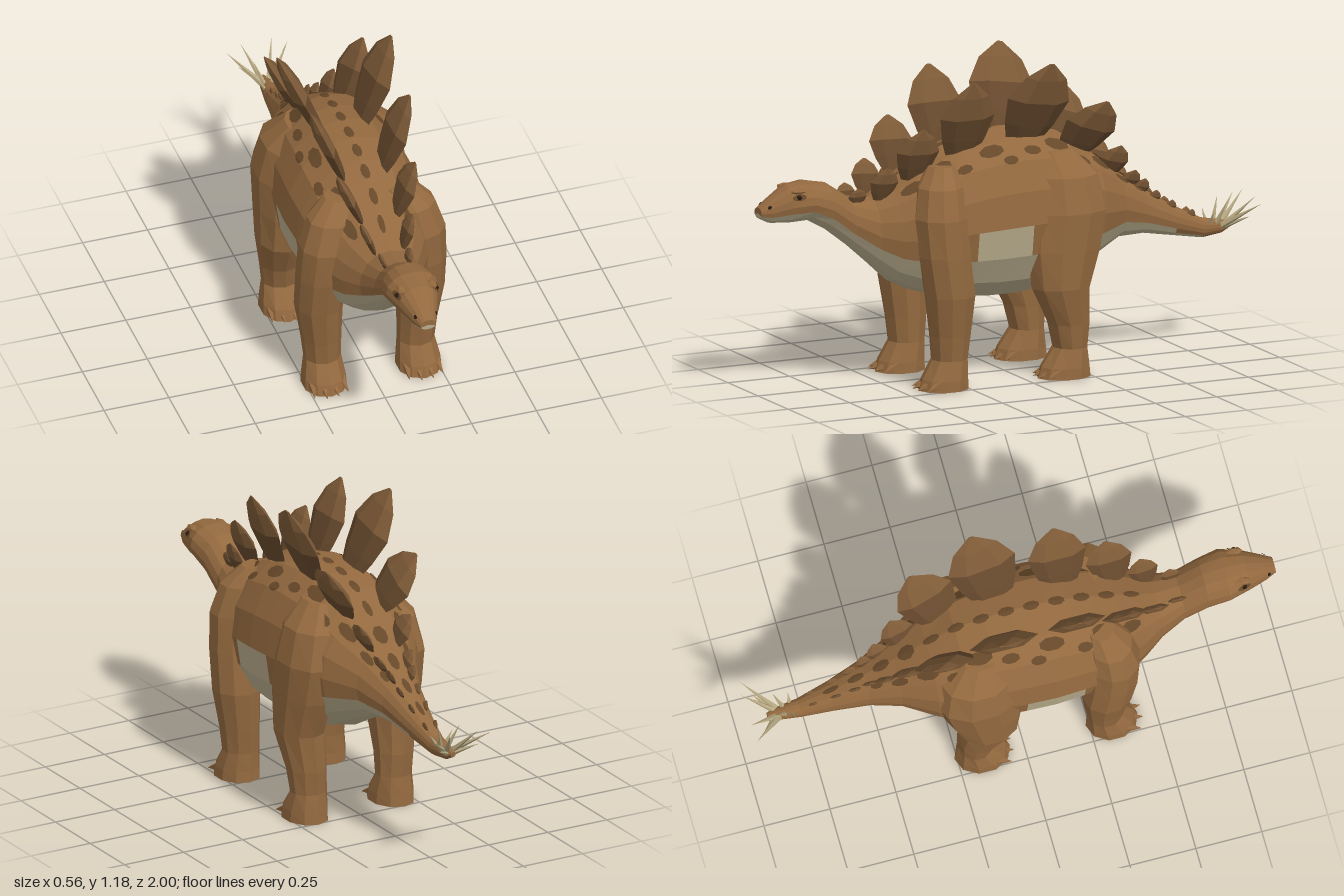
import * as THREE from 'three';

const mat = (name, color, side = THREE.FrontSide) => {
  const m = new THREE.MeshStandardMaterial({ color, side });
  m.name = name;
  return m;
};
const skin = mat('brown skin', 0x93693f);
const belly = mat('pale belly', 0xb8ac8c);
const dark = mat('dark markings', 0x664829, THREE.DoubleSide);
const plateBase = mat('plate base', 0x694b2e);
const plateTip = mat('plate tip', 0x7d5a37);
const horn = mat('horn', 0xb5a780);
const black = mat('eye black', 0x241a12, THREE.DoubleSide);

const V = (x, y, z) => new THREE.Vector3(x, y, z);

// Faceted skin over rings of points, capped at both ends; pick(i, j) gives a material index
function loft(rings, pick = () => 0) {
  const faces = [[], []];
  const n = rings[0].length;
  const last = rings.length - 1;
  const mid = r => r.reduce((s, p) => s.add(p), V(0, 0, 0)).divideScalar(n);
  for (let j = 0; j < n; j++) {
    const k = (j + 1) % n;
    for (let i = 0; i < last; i++) {
      const [a, b, c, d] = [rings[i][j], rings[i][k], rings[i + 1][k], rings[i + 1][j]];
      faces[pick(i, j)].push(a, d, c, a, c, b);
    }
    faces[pick(0, j)].push(mid(rings[0]), rings[0][j], rings[0][k]);
    faces[pick(last - 1, j)].push(mid(rings[last]), rings[last][k], rings[last][j]);
  }
  const geo = new THREE.BufferGeometry().setFromPoints(faces.flat());
  geo.addGroup(0, faces[0].length, 0);
  geo.addGroup(faces[0].length, faces[1].length, 1);
  geo.computeVertexNormals();
  return geo;
}

// Body sections: z, top, bottom, half width, pale faces per side
const SIDES = 16;
const sections = [
  [1.0, 0.705, 0.665, 0.03, 3], [0.96, 0.735, 0.645, 0.048, 3], [0.89, 0.78, 0.64, 0.075, 3],
  [0.81, 0.79, 0.645, 0.1, 3], [0.73, 0.775, 0.6, 0.092, 3], [0.64, 0.715, 0.53, 0.088, 3],
  [0.55, 0.705, 0.45, 0.115, 3], [0.48, 0.745, 0.385, 0.16, 3], [0.4, 0.8, 0.345, 0.21, 3],
  [0.3, 0.855, 0.315, 0.24, 3], [0.22, 0.885, 0.3, 0.25, 4], [0.11, 0.91, 0.29, 0.258, 4],
  [0.0, 0.918, 0.29, 0.255, 3], [-0.1, 0.91, 0.305, 0.25, 3], [-0.21, 0.88, 0.34, 0.24, 3],
  [-0.32, 0.81, 0.4, 0.205, 3], [-0.44, 0.715, 0.46, 0.13, 3], [-0.55, 0.635, 0.462, 0.085, 3],
  [-0.68, 0.555, 0.44, 0.055, 2], [-0.8, 0.495, 0.42, 0.034, 0], [-0.88, 0.48, 0.43, 0.024, 0],
  [-0.92, 0.47, 0.45, 0.01, 0],
];
const bodyRings = sections.map(([z, top, bottom, hw]) => {
  const yc = bottom + (top - bottom) * 0.48;
  return Array.from({ length: SIDES }, (_, j) => {
    const a = (j / SIDES) * Math.PI * 2;
    const s = Math.sin(a), c = -Math.cos(a);
    const x = Math.sign(s) * Math.abs(s) ** 0.88 * hw;
    return V(x, yc + c * (c > 0 ? top - yc : yc - bottom), z);
  });
});

// Point on the body surface; v runs 0 (bottom) to 8 (top) up the left side and on round
function onBody(z, v, lift = 0.005) {
  let i = sections.findIndex((s, k) => k > 0 && s[0] <= z) - 1;
  const t = (sections[i][0] - z) / (sections[i][0] - sections[i + 1][0]);
  const j = Math.floor(v), f = v - j;
  const at = (r, k) => bodyRings[r][(k + SIDES) % SIDES];
  const row = r => at(r, j).clone().lerp(at(r, j + 1), f);
  const p = row(i).lerp(row(i + 1), t);
  const a = (v / SIDES) * Math.PI * 2;
  return p.add(V(Math.sin(a) * lift, -Math.cos(a) * lift, 0));
}

// Thin many-sided marking laid on the body
function patch(z, v, dz, dv) {
  const rim = k => Array.from({ length: 8 }, (_, n) => {
    const a = ((n + 0.5) / 8) * Math.PI * 2;
    return onBody(z + Math.cos(a) * dz * k, v + Math.sin(a) * dv * k);
  });
  const inner = rim(0.5), outer = rim(1), c = onBody(z, v), pts = [];
  for (let n = 0; n < 8; n++) {
    const m = (n + 1) % 8;
    pts.push(c, inner[n], inner[m], inner[n], outer[n], outer[m], inner[n], outer[m], inner[m]);
  }
  const geo = new THREE.BufferGeometry().setFromPoints(pts);
  geo.computeVertexNormals();
  return geo;
}

// Faceted spike between two points
function spike(from, to, r, sides = 5) {
  const dir = to.clone().sub(from);
  const geo = new THREE.ConeGeometry(r, dir.length(), sides).toNonIndexed();
  geo.computeVertexNormals();
  geo.applyQuaternion(new THREE.Quaternion().setFromUnitVectors(V(0, 1, 0), dir.clone().normalize()));
  const c = from.clone().lerp(to, 0.5);
  return geo.translate(c.x, c.y, c.z);
}

// Leg rings: y, x centre, x radius, z centre, z radius
const frontLeg = [
  [0, 0.182, 0.08, 0.335, 0.098], [0.04, 0.182, 0.078, 0.33, 0.09], [0.11, 0.18, 0.067, 0.31, 0.068],
  [0.2, 0.185, 0.072, 0.31, 0.078], [0.35, 0.196, 0.086, 0.315, 0.096], [0.5, 0.19, 0.092, 0.335, 0.1],
  [0.64, 0.175, 0.1, 0.345, 0.1], [0.75, 0.15, 0.09, 0.335, 0.085], [0.82, 0.11, 0.06, 0.31, 0.05],
];
const hindLeg = [
  [0, 0.182, 0.08, -0.155, 0.105], [0.04, 0.182, 0.078, -0.16, 0.095], [0.11, 0.18, 0.067, -0.18, 0.064],
  [0.2, 0.185, 0.072, -0.172, 0.08], [0.34, 0.196, 0.086, -0.135, 0.115], [0.48, 0.19, 0.092, -0.15, 0.15],
  [0.62, 0.178, 0.104, -0.17, 0.16], [0.75, 0.15, 0.1, -0.165, 0.14], [0.84, 0.11, 0.06, -0.14, 0.08],
];

// Back plates: z, base x, base y, tip x, tip y, tip z, width
const plates = [
  [0.62, 0.04, 0.685, 0.06, 0.75, 0.62, 0.075], [0.53, 0.055, 0.7, 0.1, 0.825, 0.52, 0.115],
  [0.41, 0.07, 0.77, 0.15, 0.965, 0.4, 0.175], [0.215, 0.075, 0.83, 0.19, 1.13, 0.215, 0.22],
  [-0.035, 0.075, 0.86, 0.22, 1.18, -0.09, 0.26], [-0.235, 0.07, 0.8, 0.19, 1.01, -0.33, 0.23],
  [-0.385, 0.05, 0.7, 0.11, 0.82, -0.425, 0.13], [-0.475, 0.035, 0.64, 0.075, 0.715, -0.5, 0.085],
  [-0.53, 0.03, 0.61, 0.055, 0.675, -0.55, 0.065], [-0.59, 0.025, 0.57, 0.045, 0.625, -0.6, 0.055],
  [-0.66, 0.02, 0.53, 0.035, 0.58, -0.67, 0.048], [-0.745, 0.015, 0.49, 0.025, 0.535, -0.755, 0.04],
];
function plateGeometry([z, bx, by, tx, ty, tz, w]) {
  const from = V(bx, by, z), up = V(tx, ty, tz).sub(from), dir = up.clone().normalize();
  const wide = V(0, 0, 1).addScaledVector(dir, -dir.z).normalize();
  const thick = dir.clone().cross(wide);
  const outline = [[0, 0.5], [0.25, 0.8], [0.55, 1], [0.82, 0.66], [1, 0.08]];
  return loft(outline.map(([h, k]) => Array.from({ length: 6 }, (_, j) => {
    const a = (-j / 6) * Math.PI * 2;
    return from.clone().addScaledVector(up, h)
      .addScaledVector(wide, Math.cos(a) * k * w / 2).addScaledVector(thick, Math.sin(a) * k * w * 0.13);
  })), i => (i < 2 ? 0 : 1));
}

export function createModel() {
  const model = new THREE.Group();
  model.name = 'plated dinosaur';
  const add = (name, geo, material) => {
    const m = new THREE.Mesh(geo, material);
    m.name = name;
    model.add(m);
    return m;
  };

  // Head, trunk and tail in one skin with a pale underside
  add('body', loft(bodyRings, (i, j) => (Math.min(j, SIDES - 1 - j) < sections[i][4] ? 1 : 0)), [skin, belly]);

  // Markings along the ridge
  for (let z = 0.46; z > -0.7; z -= 0.095) add('ridgeMarking', patch(z, 8, 0.032, z > -0.35 ? 0.16 : 0.4), dark);

  for (const s of [1, -1]) {
    const side = s > 0 ? 'left' : 'right';
    const v = q => (s > 0 ? q : SIDES - q);

    // Legs and toes
    for (const [name, rows, toeZ] of [['FrontLeg', frontLeg, 0.46], ['HindLeg', hindLeg, -0.03]]) {
      add(side + name, loft(rows.map(([y, xc, rx, zc, rz]) => Array.from({ length: 10 }, (_, j) => {
        const a = ((j + 0.5) / 10) * Math.PI * 2;
        return V(s * xc + rx * Math.cos(a) * 1.04, y, zc + rz * Math.sin(a));
      }))), skin);
      [-0.055, -0.019, 0.019, 0.055].forEach(dx => {
        const back = Math.abs(dx) * 0.5;
        add(side + 'Toe', spike(V(s * 0.182 + dx * 0.9, 0.032, toeZ - 0.075 - back),
          V(s * 0.182 + dx * 1.2, 0.006, toeZ - back), 0.026), skin);
      });
    }

    // Back plates
    for (const p of plates) {
      const q = [...p];
      q[1] *= s;
      q[3] *= s;
      add(side + 'Plate', plateGeometry(q), [plateBase, plateTip]);
    }

    // Spots beside the plates
    for (const [z, q, dz, dv] of [[0.43, 6.5, 0.04, 0.3], [0.32, 6.7, 0.045, 0.28], [0.24, 6.2, 0.03, 0.2],
      [0.12, 6.6, 0.05, 0.26], [0.06, 6.1, 0.03, 0.18], [-0.04, 6.4, 0.035, 0.2], [-0.15, 6.7, 0.05, 0.28],
      [-0.25, 6.2, 0.03, 0.22], [-0.34, 6.6, 0.04, 0.3], [-0.44, 6.4, 0.03, 0.3], [-0.52, 6.6, 0.022, 0.35]]) {
      add(side + 'Spot', patch(z, v(q), dz, dv), dark);
    }

    // Eye, brow and nostril
    add(side + 'EyePatch', patch(0.868, v(5.2), 0.026, 0.42), dark);
    const eye = onBody(0.868, v(5.2), 0.002);
    add(side + 'Eye', new THREE.IcosahedronGeometry(0.011, 0), black).position.copy(eye);
    const brow = add(side + 'Brow', new THREE.IcosahedronGeometry(0.022, 0), skin);
    brow.position.copy(onBody(0.862, v(6.1), 0));
    brow.scale.set(0.8, 0.5, 1.7);
    add(side + 'Nostril', patch(0.972, v(5.4), 0.007, 0.4), black);

    // Tail spikes
    for (const [x, y, z, bz, r] of [[0.12, 0.55, -0.99, -0.87, 0.014], [0.06, 0.57, -1, -0.88, 0.013],
      [0.045, 0.56, -0.89, -0.85, 0.012], [0.05, 0.52, -0.83, -0.83, 0.011], [0.085, 0.5, -0.96, -0.89, 0.012]]) {
      add(side + 'TailSpike', spike(V(s * 0.008, 0.455, bz), V(s * x, y, z), r), horn);
    }
  }
  return model;
}
